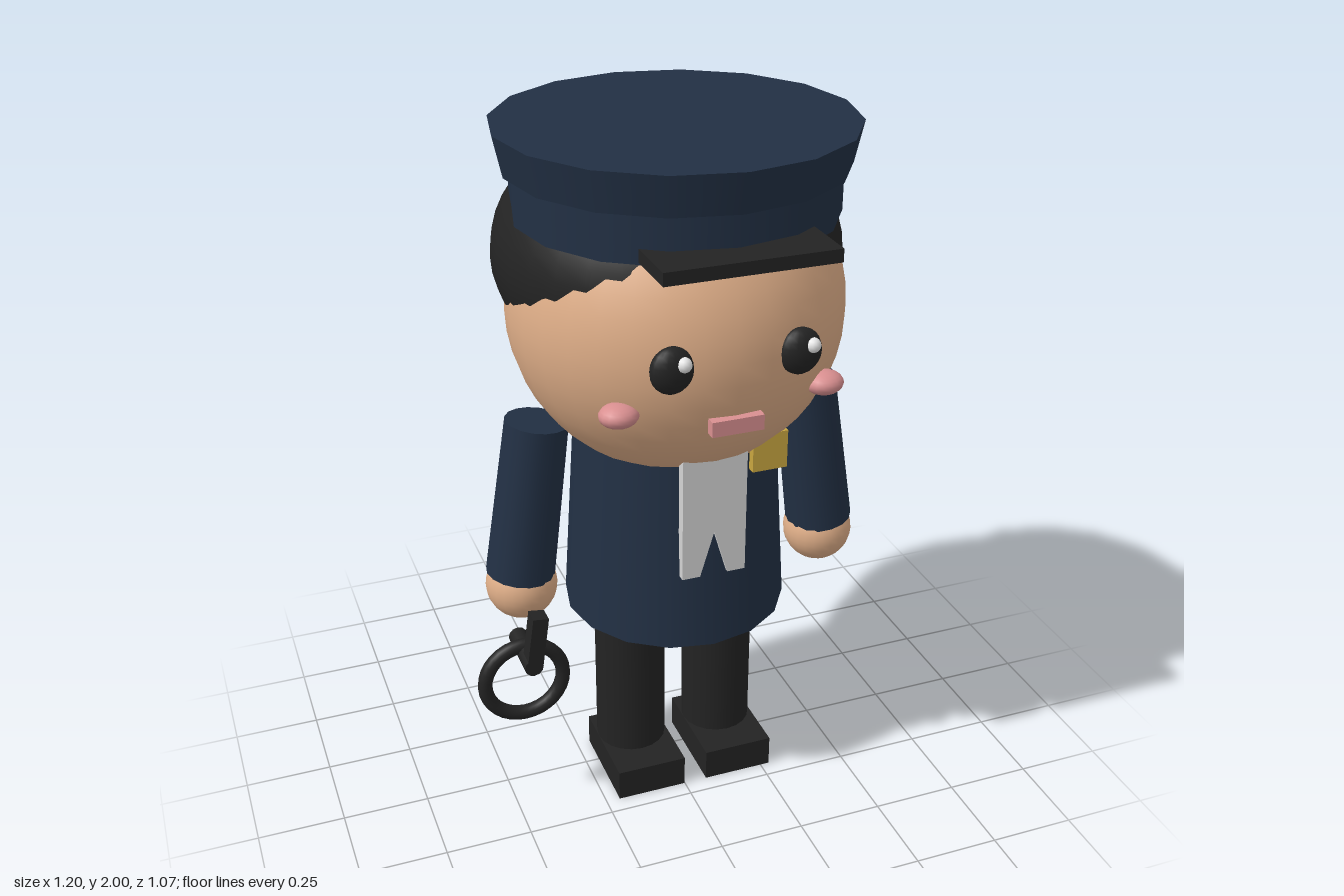
import * as THREE from 'three';

const mat = (name, color) => {
  const m = new THREE.MeshStandardMaterial({ color });
  m.name = name;
  return m;
};

export function createModel() {
  const navy = mat('navy cloth', 0x223044);
  const skin = mat('skin', 0xdfae88);
  const black = mat('black', 0x232323);
  const pink = mat('pink', 0xd98f90);
  const white = mat('scarf white', 0xd4d4d4);
  const gold = mat('gold', 0xc9a640);
  const shine = mat('eye shine', 0xf2f2f2);

  const model = new THREE.Group();
  model.name = 'officer';
  // The body's own axis sits slightly to the left of the model's centre
  const body = new THREE.Group();
  body.name = 'figure';
  body.position.set(0.034, 0, 0.006);
  model.add(body);

  const add = (name, geometry, material, x, y, z, parent = body) => {
    const mesh = new THREE.Mesh(geometry, material);
    mesh.name = name;
    mesh.position.set(x, y, z);
    parent.add(mesh);
    return mesh;
  };
  const box = (w, h, d) => new THREE.BoxGeometry(w, h, d);
  const cyl = (top, bottom, h, sides = 16) => new THREE.CylinderGeometry(top, bottom, h, sides);
  const ellipsoid = (rx, ry, rz, w = 32, h = 24) =>
    new THREE.SphereGeometry(1, w, h).scale(rx, ry, rz);

  // Head and hair
  add('head', ellipsoid(0.46, 0.46, 0.46), skin, 0, 1.5, 0);
  add('hair', ellipsoid(0.474, 0.36, 0.474), black, 0, 1.63, -0.067);

  // Cap
  add('capBand', cyl(0.437, 0.437, 0.15), navy, 0, 1.835, 0);
  add('capCrown', cyl(0.484, 0.46, 0.11), navy, 0, 1.945, 0);
  add('capVisor', box(0.46, 0.035, 0.23), black, 0, 1.783, 0.414);

  // Face
  for (const s of [-1, 1]) {
    add('eye', ellipsoid(0.058, 0.063, 0.035, 16, 12), black, s * 0.172, 1.505, 0.434);
    add('eyeShine', ellipsoid(0.02, 0.02, 0.02, 12, 8), shine, s * 0.172 + 0.023, 1.527, 0.46);
    add('cheek', ellipsoid(0.053, 0.032, 0.048, 16, 12), pink, s * 0.283, 1.365, 0.354);
  }
  add('mouth', box(0.142, 0.042, 0.03), pink, 0, 1.333, 0.441);

  // Coat
  add('coat', cyl(0.286, 0.321, 0.555), navy, 0, 0.8625, 0);

  // Scarf with a notched lower end
  const scarf = new THREE.Shape();
  scarf.moveTo(-0.092, 1.2);
  scarf.lineTo(-0.092, 0.81);
  scarf.lineTo(-0.04, 0.81);
  scarf.lineTo(0, 0.945);
  scarf.lineTo(0.04, 0.81);
  scarf.lineTo(0.092, 0.81);
  scarf.lineTo(0.092, 1.2);
  add('scarf', new THREE.ExtrudeGeometry(scarf, { depth: 0.03, bevelEnabled: false }), white, 0, 0, 0.28);
  add('badge', box(0.1, 0.11, 0.025), gold, 0.16, 1.158, 0.292);

  // Arms, hands, legs and shoes
  for (const s of [-1, 1]) {
    const sleeve = add('sleeve', cyl(0.088, 0.098, 0.47), navy, s * 0.432, 0.972, 0);
    sleeve.rotation.z = s * 0.14;
    add('hand', ellipsoid(0.102, 0.102, 0.102, 24, 16), skin, s * 0.463, 0.702, 0);
    add('leg', cyl(0.104, 0.104, 0.52, 20), black, s * 0.139, 0.34, 0);
    add('shoe', box(0.208, 0.095, 0.296), black, s * 0.139, 0.0475, 0.046);
  }

  // Restraint ring hanging from the right hand
  const cuff = new THREE.Group();
  cuff.name = 'handcuff';
  model.add(cuff);
  add('cuffRing', new THREE.TorusGeometry(0.115, 0.021, 12, 32), black, -0.465, 0.452, 0.123, cuff);
  const pin = add('cuffPin', cyl(0.027, 0.027, 0.17, 12), black, -0.457, 0.548, 0.127, cuff);
  pin.rotation.x = Math.PI / 2;
  const link = add('cuffLink', box(0.045, 0.16, 0.05), black, -0.443, 0.623, 0.187, cuff);
  link.rotation.z = -0.14;

  return model;
}
